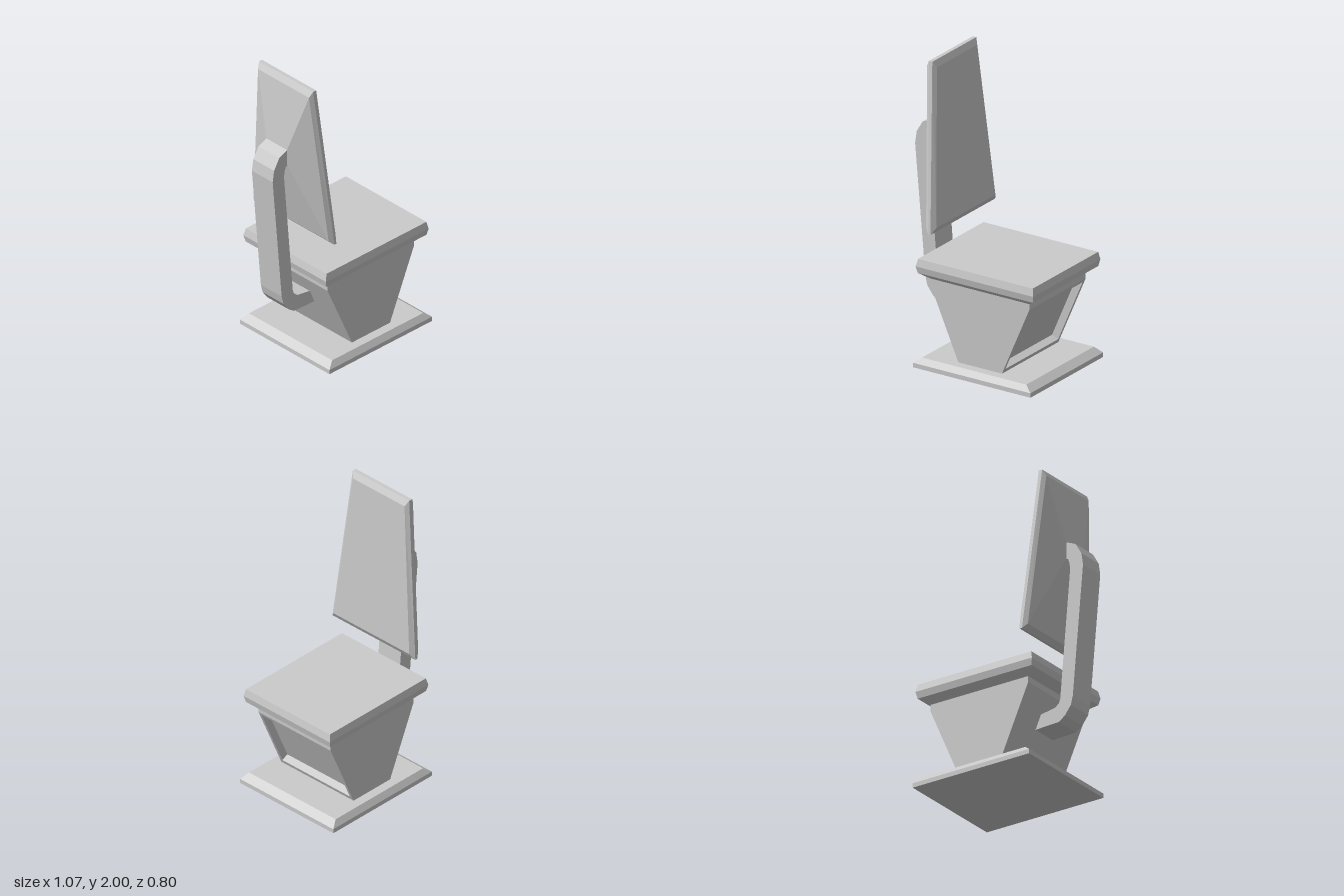
import * as THREE from 'three';

const material = new THREE.MeshStandardMaterial({ color: 0xcccccc, flatShading: true });

function addMesh(parent, name, geometry) {
  const mesh = new THREE.Mesh(geometry, material);
  mesh.name = name;
  parent.add(mesh);
  return mesh;
}

// Closed solid through four-cornered rings, each counterclockwise seen from the last ring's side
function loft(rings) {
  const pos = [];
  const quad = (a, b, c, d) => pos.push(...a, ...b, ...c, ...a, ...c, ...d);
  for (let r = 0; r < rings.length - 1; r++) {
    for (let i = 0; i < 4; i++) {
      const j = (i + 1) % 4;
      quad(rings[r][i], rings[r][j], rings[r + 1][j], rings[r + 1][i]);
    }
  }
  quad(...[...rings[0]].reverse());
  quad(...rings[rings.length - 1]);
  const geometry = new THREE.BufferGeometry();
  geometry.setAttribute('position', new THREE.Float32BufferAttribute(pos, 3));
  geometry.computeVertexNormals();
  return geometry;
}

// Level rectangle at height y
const slabRing = ([y, x0, x1, z]) => [[x0, y, z], [x1, y, z], [x1, y, -z], [x0, y, -z]];

// Upright trapezoid: bottom edge (xb, yb, zb) and top edge (xt, yt, zt)
const panelRing = ([xb, yb, zb, xt, yt, zt]) =>
  [[xb, yb, zb], [xb, yb, -zb], [xt, yt, -zt], [xt, yt, zt]];

// Side profile in x, y extruded from z0 to z1
function extrudeProfile(points, z0, z1) {
  const shape = new THREE.Shape(points.map(([x, y]) => new THREE.Vector2(x, y)));
  return new THREE.ExtrudeGeometry(shape, { depth: z1 - z0, bevelEnabled: false }).translate(0, 0, z0);
}

export function createModel() {
  const chair = new THREE.Group();
  chair.name = 'chair';

  // Floor plate with a chamfered top edge
  addMesh(chair, 'basePlate', loft([
    [0, -0.345, 0.535, 0.4],
    [0.03, -0.345, 0.535, 0.4],
    [0.067, -0.295, 0.485, 0.372],
  ].map(slabRing)));

  // Tapered pedestal: a core with a sunken front panel between two side cheeks
  const pedestal = new THREE.Group();
  pedestal.name = 'pedestal';
  chair.add(pedestal);
  const low = [0.26, 0.065], high = [0.465, 0.54];
  const onFront = (y, depth) => {
    const t = (y - low[1]) / (high[1] - low[1]);
    return [low[0] + t * (high[0] - low[0]) - 0.918 * depth, y + 0.396 * depth];
  };
  const back = [[0.465, 0.585], [-0.275, 0.585], [-0.275, 0.54], [-0.065, 0.065]];
  const recess = [onFront(0.095, 0), onFront(0.095, 0.05), onFront(0.52, 0.05), onFront(0.52, 0)];
  addMesh(pedestal, 'pedestalCore', extrudeProfile([low, ...recess, high, ...back], -0.29, 0.29));
  addMesh(pedestal, 'leftCheek', extrudeProfile([low, high, ...back], 0.29, 0.31));
  addMesh(pedestal, 'rightCheek', extrudeProfile([low, high, ...back], -0.31, -0.29));

  // Seat cushion, flared underneath and bulging at the rim
  addMesh(chair, 'seat', loft([
    [0.58, -0.275, 0.465, 0.31],
    [0.62, -0.335, 0.525, 0.36],
    [0.665, -0.345, 0.535, 0.37],
    [0.715, -0.333, 0.525, 0.36],
  ].map(slabRing)));

  // Bent support arm from the pedestal up to the backrest
  addMesh(chair, 'supportArm', extrudeProfile([
    [-0.39, 1.54], [-0.41, 1.54], [-0.48, 1.51], [-0.525, 1.435], [-0.537, 1.355],
    [-0.46, 0.48], [-0.445, 0.42], [-0.40, 0.36], [-0.355, 0.328], [-0.15, 0.32],
    [-0.19, 0.41], [-0.325, 0.432], [-0.355, 0.455], [-0.365, 0.485],
    [-0.44, 1.35], [-0.435, 1.39], [-0.425, 1.42], [-0.39, 1.435],
  ], -0.093, 0.093));

  // Backrest: small rear hub widening to a bevelled trapezoid panel
  addMesh(chair, 'backrest', loft([
    [-0.413, 1.43, 0.093, -0.413, 1.54, 0.093],
    [-0.29, 0.925, 0.335, -0.355, 1.96, 0.228],
    [-0.26, 0.895, 0.356, -0.333, 2, 0.242],
    [-0.243, 0.895, 0.356, -0.307, 2, 0.242],
    [-0.22, 0.935, 0.325, -0.286, 1.96, 0.222],
  ].map(panelRing)));

  return chair;
}
